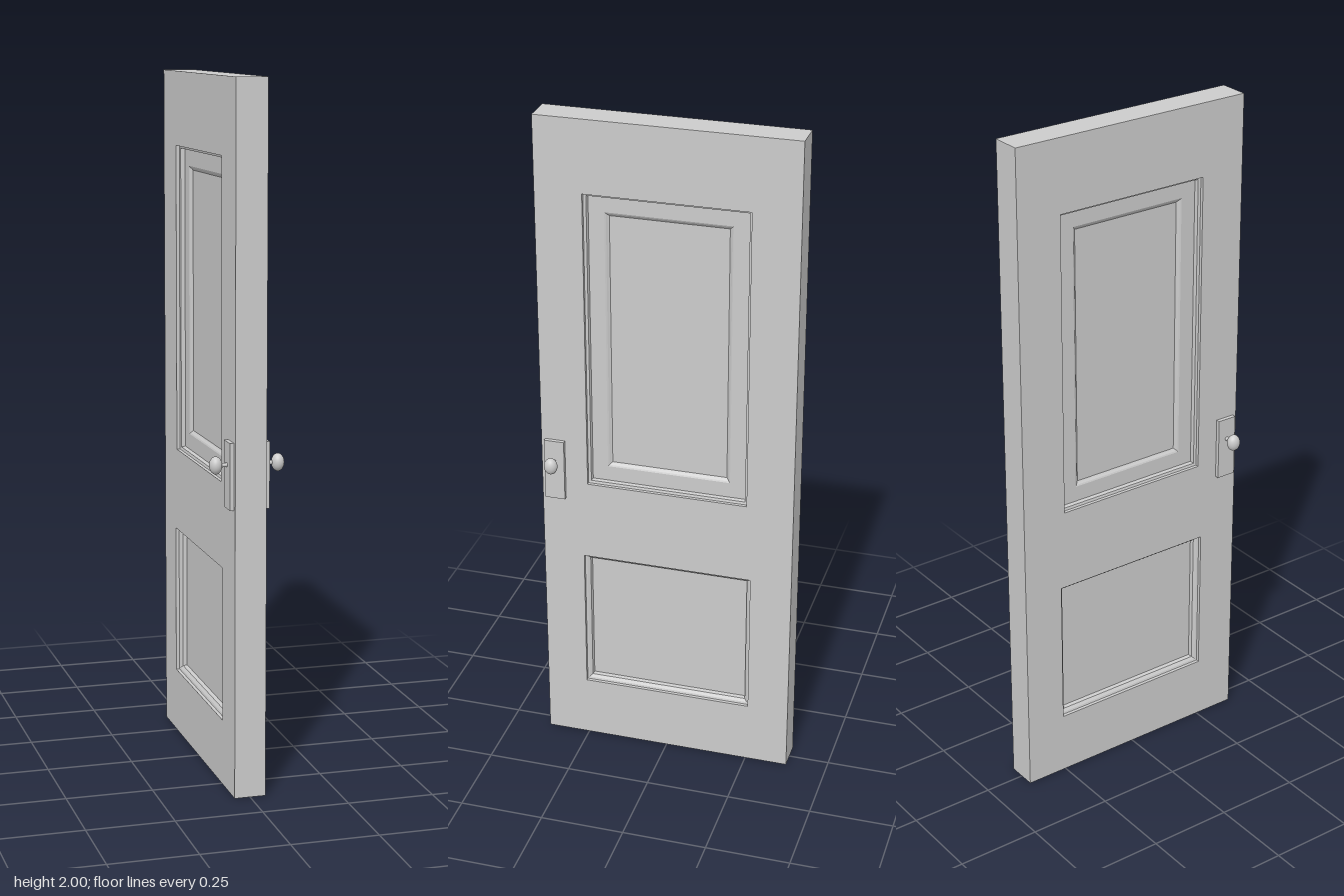
import * as THREE from 'three';

const H = 2, W = 0.757, T = 0.09;
const material = new THREE.MeshStandardMaterial({ color: 0xcccccc });

// Sunk panels: size of the opening and moulding profile as [inset, depth] steps
const panels = [
  { name: 'upperPanel', half: 0.24, y0: 0.88, y1: 1.785,
    profile: [[0, 0], [0, 0.01], [0.008, 0.012], [0.01, 0.024], [0.056, 0.024],
      [0.06, 0.026], [0.064, 0.03], [0.068, 0.033]] },
  { name: 'lowerPanel', half: 0.255, y0: 0.19, y1: 0.635,
    profile: [[0, 0], [0, 0.01], [0.006, 0.012], [0.014, 0.018], [0.016, 0.03]] },
];

function mesh(name, geometry, x = 0, y = 0, z = 0) {
  const m = new THREE.Mesh(geometry, material);
  m.name = name;
  m.position.set(x, y, z);
  return m;
}

// Nested rectangular rings stepping inwards, closed by a flat field
function panelGeometry({ half, y0, y1, profile }) {
  const rings = profile.map(([i, d]) => [
    [-half + i, y0 + i, -d], [half - i, y0 + i, -d],
    [half - i, y1 - i, -d], [-half + i, y1 - i, -d]]);
  const pos = [];
  const quad = (a, b, c, d) => pos.push(...a, ...b, ...c, ...a, ...c, ...d);
  for (let r = 0; r < rings.length - 1; r++) {
    const o = rings[r], n = rings[r + 1];
    for (let k = 0; k < 4; k++) quad(o[k], o[(k + 1) % 4], n[(k + 1) % 4], n[k]);
  }
  quad(...rings[rings.length - 1]);
  const g = new THREE.BufferGeometry();
  g.setAttribute('position', new THREE.Float32BufferAttribute(pos, 3));
  g.computeVertexNormals();
  return g;
}

// Flat face of the door with the panel openings cut out
function faceGeometry() {
  const rect = (C, h, a, b) => new C([[-h, a], [h, a], [h, b], [-h, b]]
    .map(p => new THREE.Vector2(...p)));
  const shape = rect(THREE.Shape, W / 2, 0, H);
  shape.holes = panels.map(p => rect(THREE.Path, p.half, p.y0, p.y1));
  return new THREE.ShapeGeometry(shape);
}

// One side of the door, built facing +z and turned to face +x or -x
function doorSide(s) {
  const side = new THREE.Group();
  side.name = s > 0 ? 'leftSide' : 'rightSide';
  side.add(mesh('face', faceGeometry()));
  for (const p of panels) side.add(mesh(p.name, panelGeometry(p)));

  // Handle: back plate, shank and oval knob
  const handle = new THREE.Group();
  handle.name = 'handle';
  handle.position.x = -s * 0.337;
  handle.add(mesh('backPlate', new THREE.BoxGeometry(0.06, 0.188, 0.012), 0, 0.919, 0.006));
  const shank = new THREE.CylinderGeometry(0.006, 0.006, 0.03, 20).rotateX(Math.PI / 2);
  handle.add(mesh('shank', shank, 0, 0.948, 0.023));
  const knob = new THREE.SphereGeometry(1, 32, 20).rotateX(Math.PI / 2).scale(0.02, 0.025, 0.018);
  handle.add(mesh('knob', knob, 0, 0.948, 0.044));
  side.add(handle);

  side.rotation.y = s * Math.PI / 2;
  side.position.x = s * T / 2;
  return side;
}

export function createModel() {
  const door = new THREE.Group();
  door.name = 'door';
  // Four narrow edges: a box without its two broad faces
  const edges = new THREE.BoxGeometry(T, H, W);
  edges.setIndex(Array.from(edges.index.array).slice(12));
  edges.clearGroups();
  door.add(mesh('edges', edges, 0, H / 2, 0));
  door.add(doorSide(1), doorSide(-1));
  return door;
}
